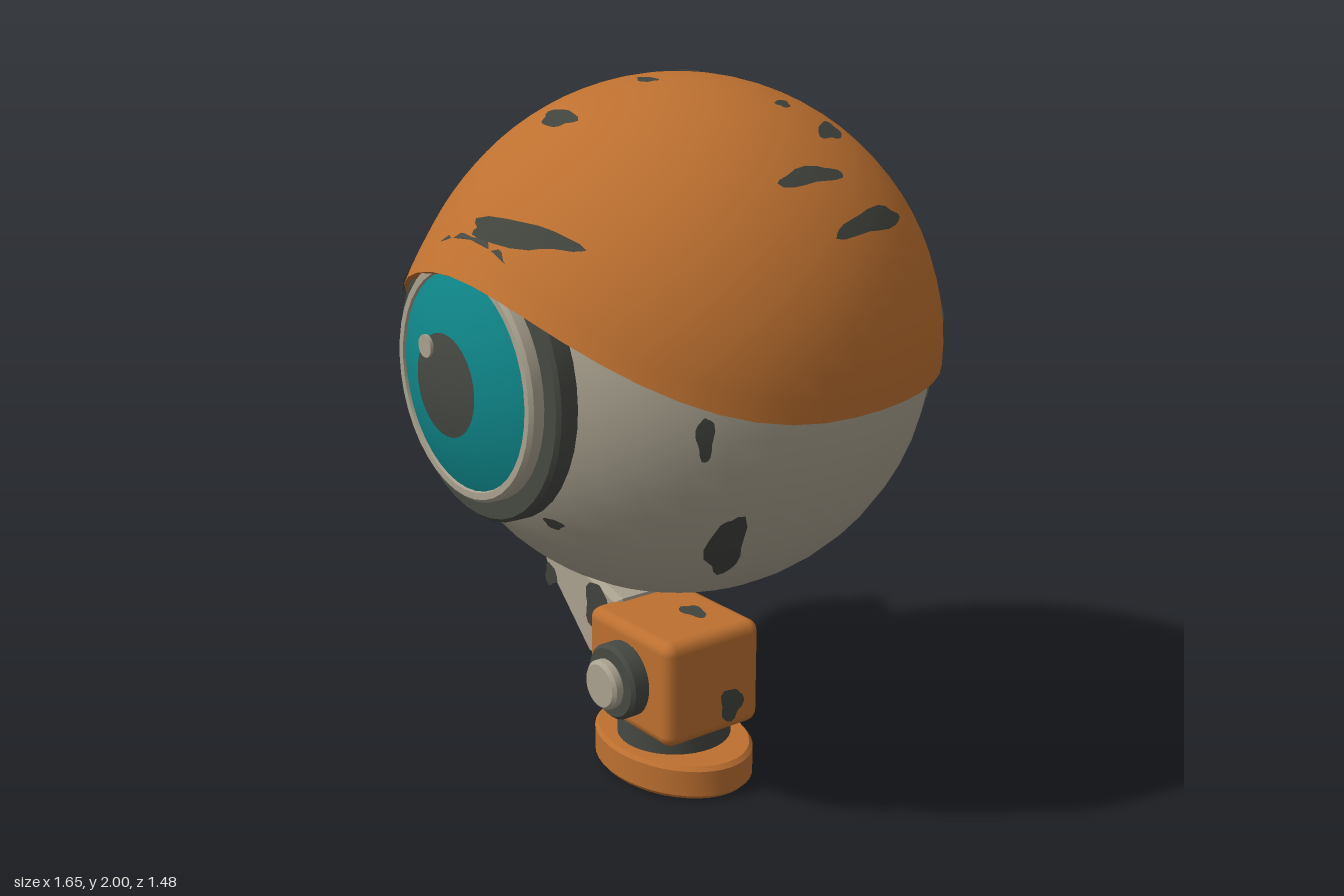
import * as THREE from 'three';
import { toCreasedNormals } from 'three/addons/utils/BufferGeometryUtils.js';
import { RoundedBoxGeometry } from 'three/addons/geometries/RoundedBoxGeometry.js';

const mat = (name, color) => new THREE.MeshStandardMaterial({ name, color });
const CENTER = new THREE.Vector3(0.1, 1.28, -0.02);
const V = (x, y, z) => new THREE.Vector3(x, y, z);

// Share of the brow at a direction: 1 at the front, 0 at the sides and back
const brow = (d) => {
  const h = Math.hypot(d.x, d.z) || 1;
  return Math.pow(Math.max(0, d.z / h), 2.5);
};
const lidAngle = (d) => Math.acos(-0.0625 + 0.425 * brow(d));
// The eyelid flares outward toward the brow edge
const lidRadius = (d) => {
  const t = Math.min(1, Math.acos(THREE.MathUtils.clamp(d.y, -1, 1)) / lidAngle(d));
  return 0.722 + 0.05 * brow(d) * Math.pow(t, 5);
};

export function createModel() {
  const model = new THREE.Group();
  const orange = mat('orangePaint', 0xbd7030);
  const light = mat('warmGrey', 0xaaa290);
  const dark = mat('darkGrey', 0x464842);
  const teal = mat('tealIris', 0x0f8689);
  const black = mat('blackRubber', 0x121212);
  const red = mat('darkRed', 0x4f1f1a);
  const chip = mat('wornPatch', 0x41433d);
  chip.side = THREE.DoubleSide;

  const add = (name, geo, material, x = 0, y = 0, z = 0) => {
    const m = new THREE.Mesh(geo, material);
    m.name = name;
    m.position.set(x, y, z);
    model.add(m);
    return m;
  };
  const lathe = (pts, seg = 40) =>
    toCreasedNormals(new THREE.LatheGeometry(pts.map((p) => new THREE.Vector2(...p)), seg), 0.6);
  // Chamfered disc rising from y = 0
  const disc = (r, h, b = 0.01) =>
    lathe([[0, 0], [r - b, 0], [r, b], [r, h - b], [r - b, h], [0, h]]);

  // Ball and eyelid shell
  add('ball', new THREE.SphereGeometry(0.695, 40, 28), light, ...CENTER);
  const rows = 36, outer = 20;
  const lid = new THREE.SphereGeometry(1, 48, rows);
  const pos = lid.attributes.position, uv = lid.attributes.uv;
  for (let i = 0; i < pos.count; i++) {
    const row = Math.floor(i / 49);
    const a = (i % 49) / 48 * Math.PI * 2;
    const inside = row > outer;
    const t = inside ? (rows - row) / (rows - outer - 1) : row / outer;
    const d = V(-Math.cos(a), 0, Math.sin(a));
    const theta = t * lidAngle(d);
    d.multiplyScalar(Math.sin(theta)).setY(Math.cos(theta));
    const p = d.clone().multiplyScalar(lidRadius(d) - (inside ? 0.022 : 0));
    pos.setXYZ(i, p.x, p.y, p.z);
  }
  add('eyelid', toCreasedNormals(lid, 0.7), orange, ...CENTER);

  // Eye, facing +z
  const front = (name, geo, m, z, x = 0.1, y = 1.28) => add(name, geo.rotateX(Math.PI / 2), m, x, y, z);
  front('eyeSocket', disc(0.375, 0.065), dark, 0.57);
  front('eyeRim', lathe([[0.28, 0], [0.315, 0], [0.315, 0.045], [0.306, 0.055], [0.288, 0.055], [0.28, 0.02]]), light, 0.62);
  const dome = (r, lift) => {
    const pts = [];
    for (let i = 0; i <= 10; i++) {
      const q = r * (1 - i / 10);
      pts.push([q, Math.sqrt(0.657 ** 2 - q * q) + lift]);
    }
    return lathe(pts);
  };
  front('iris', dome(0.285, 0), teal, 0.076);
  front('pupil', dome(0.135, 0.003), dark, 0.076);
  front('eyeGlint', new THREE.CylinderGeometry(0.03, 0.03, 0.009, 16), light, 0.733, 0.03, 1.37);

  // Side hub, facing -x
  const hub = (name, r, x, h, m) => add(name, disc(r, h).rotateZ(Math.PI / 2), m, x, 1.28, -0.02);
  hub('hubCollar', 0.19, -0.55, 0.135, dark);
  hub('hubDisc', 0.222, -0.685, 0.065, light);
  hub('hubCap', 0.14, -0.75, 0.05, orange);
  hub('hubButton', 0.087, -0.8, 0.03, red);

  // Bent support arm
  const outline = [[-0.65, 1.15], [-0.61, 0.81], [-0.42, 0.47], [-0.2, 0.255], [-0.05, 0.27],
    [-0.05, 0.48], [-0.34, 0.56], [-0.485, 0.8], [-0.485, 0.99], [-0.54, 1.15]];
  const armShape = new THREE.Shape(outline.map((p) => new THREE.Vector2(...p)));
  add('arm', new THREE.ExtrudeGeometry(armShape, {
    depth: 0.139, bevelThickness: 0.018, bevelSize: 0.018, bevelOffset: -0.018, bevelSegments: 1,
  }), light, 0, 0, -0.082);

  // Cable and its plug
  const path = new THREE.CatmullRomCurve3([V(-0.62, 1.12, -0.17), V(-0.65, 0.97, -0.25), V(-0.665, 0.8, -0.3),
    V(-0.6, 0.65, -0.32), V(-0.42, 0.5, -0.29), V(-0.24, 0.4, -0.21), V(-0.11, 0.34, -0.13)]);
  add('cable', new THREE.TubeGeometry(path, 40, 0.042, 12), black);
  const plug = add('cablePlug', toCreasedNormals(new THREE.CylinderGeometry(0.055, 0.055, 0.1, 8), 0.5), red, -0.13, 0.35, -0.145);
  plug.quaternion.setFromUnitVectors(V(0, 1, 0), V(-0.13, 0.06, -0.08).normalize());

  // Foot: block, knob, neck and oval base
  add('block', new RoundedBoxGeometry(0.385, 0.315, 0.335, 2, 0.035), orange, 0.1, 0.313, -0.012);
  front('knobRing', disc(0.11, 0.065), dark, 0.15, 0.1, 0.315);
  front('knob', disc(0.072, 0.04), light, 0.212, 0.1, 0.315);
  add('neck', disc(0.165, 0.09), dark, 0.1, 0.09, -0.015);
  add('base', disc(0.27, 0.1, 0.012), orange, 0.1, 0.003, -0.012).scale.z = 0.745;
  add('basePad', new THREE.CylinderGeometry(0.245, 0.245, 0.006, 36), black, 0.1, 0.003, -0.012).scale.z = 0.745;

  // Irregular worn patch, optionally wrapped round the ball
  const blob = (w, h, seed) => {
    const g = new THREE.RingGeometry(0.001, 1, 20, 3);
    const p = g.attributes.position;
    for (let i = 0; i < p.count; i++) {
      const a = Math.atan2(p.getY(i), p.getX(i));
      const k = 1 + 0.14 * Math.sin(3 * a + seed) + 0.08 * Math.sin(5 * a + seed * 2);
      p.setXY(i, p.getX(i) * w * k, p.getY(i) * h * k);
    }
    return g;
  };
  const wrap = (name, radius) => ([x, y, z, w, h, turn = 0], seed) => {
    const n = V(x, y, z).normalize();
    const u = V(n.z, 0, -n.x).normalize(), v = n.clone().cross(u);
    const g = blob(w, h, seed).rotateZ(turn), p = g.attributes.position;
    for (let i = 0; i < p.count; i++) {
      const d = n.clone().multiplyScalar(0.71).addScaledVector(u, p.getX(i)).addScaledVector(v, p.getY(i)).normalize();
      const r = radius(d);
      p.setXYZ(i, d.x * r, d.y * r, d.z * r);
    }
    g.computeVertexNormals();
    add(name, g, chip, ...CENTER);
  };
  // Direction, half width, half height, turn
  [[-0.07, 0.87, 0.48, 0.075, 0.035], [0.19, 0.535, 0.82, 0.17, 0.035], [-0.53, 0.23, 0.81, 0.08, 0.03],
    [0.69, 0.72, -0.04, 0.11, 0.025], [0.8, 0.56, -0.24, 0.15, 0.03], [0.48, 0.82, -0.31, 0.07, 0.03],
    [0.61, 0.11, -0.78, 0.07, 0.022], [0.13, 0.71, -0.69, 0.12, 0.03, -0.1], [-0.56, 0.83, -0.07, 0.05, 0.018],
    [-0.47, 0.88, -0.04, 0.02, 0.012], [-0.06, 0.94, -0.33, 0.025, 0.018], [-0.04, 0.99, -0.07, 0.035, 0.018],
    [0.01, 0.98, 0.15, 0.035, 0.02], [0.36, 0.91, -0.19, 0.03, 0.018], [-0.45, 0.42, -0.79, 0.19, 0.032],
    [-0.69, 0.31, -0.66, 0.17, 0.03, 0.05], [-0.06, 0.15, -0.98, 0.14, 0.03, -0.1],
  ].forEach(wrap('eyelidWear', (d) => lidRadius(d) + 0.004));
  [[0.66, -0.11, -0.74, 0.04, 0.075], [-0.47, -0.23, -0.85, 0.11, 0.075, 0.3], [-0.07, -0.65, -0.75, 0.08, 0.045],
    [0.06, -0.85, -0.51, 0.08, 0.035], [-0.65, -0.7, -0.29, 0.045, 0.03], [0.74, -0.57, 0.35, 0.05, 0.13],
    [0.84, -0.09, 0.53, 0.022, 0.06], [0.31, -0.5, 0.81, 0.03, 0.02], [0.8, -0.03, -0.6, 0.11, 0.02],
  ].forEach(wrap('ballWear', () => 0.699));

  // Flat patches on the arm (front and back) and the block
  [[-0.16, 0.43, 0.05, 0.075], [-0.39, 0.45, 0.03, 0.035], [-0.47, 0.585, 0.026, 0.024], [-0.35, 0.555, 0.018, 0.012]]
    .forEach(([x, y, w, h], i) => add('armWear', blob(w, h, i).rotateZ(-0.3), chip, x, y, 0.0765));
  add('armWear', blob(0.03, 0.02, 5).rotateY(Math.PI), chip, -0.25, 0.42, -0.1015);
  add('blockWear', blob(0.04, 0.05, 1).rotateY(Math.PI / 2), chip, 0.294, 0.24, -0.07);
  add('blockWear', blob(0.05, 0.03, 2).rotateX(-Math.PI / 2), chip, 0.13, 0.472, -0.06);
  add('blockWear', blob(0.022, 0.03, 3), chip, -0.035, 0.2, 0.157);
  add('blockWear', blob(0.03, 0.045, 4).rotateY(Math.PI), chip, 0.2, 0.28, -0.181);
  return model;
}
